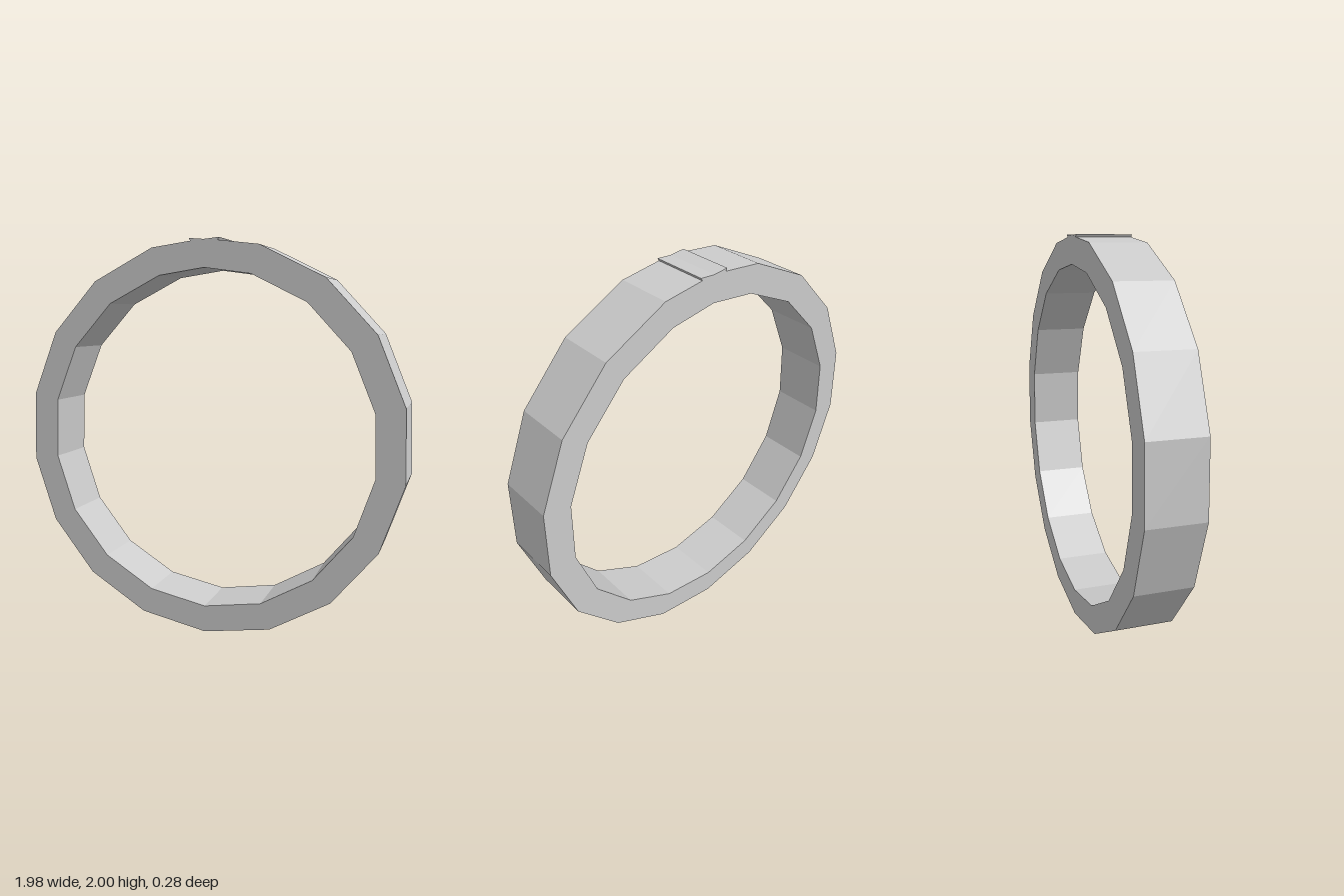
import * as THREE from 'three';

const DEPTH = 0.28;
const CENTRE_Y = 1;
const STEP = THREE.MathUtils.degToRad(20.5);

// Half outline from the bottom point up the +x side, then mirrored.
function ringPoints(radius, topPoints) {
  const half = [];
  for (let i = 1; i <= 8; i++) {
    half.push([radius * Math.sin(i * STEP), CENTRE_Y - radius * Math.cos(i * STEP)]);
  }
  half.push(...topPoints);
  const apex = half.pop();
  const mirrored = half.map(([x, y]) => [-x, y]).reverse();
  return [[0, CENTRE_Y - radius], ...half, apex, ...mirrored].map(([x, y]) => new THREE.Vector2(x, y));
}

export function createModel() {
  const group = new THREE.Group();
  const material = new THREE.MeshStandardMaterial({ color: 0xcccccc, flatShading: true });

  // Faceted band; the outer rim carries a shallow raised clasp at the top.
  const shape = new THREE.Shape(ringPoints(1, [[0.07, 1.987], [0.077, 2], [0, 1.993]]));
  shape.holes.push(new THREE.Path(ringPoints(0.86, [[0, 1.86]])));

  const geometry = new THREE.ExtrudeGeometry(shape, { depth: DEPTH, bevelEnabled: false });
  geometry.translate(0, 0, -DEPTH / 2);
  const band = new THREE.Mesh(geometry, material);
  band.name = 'bandWithClasp';
  group.add(band);
  return group;
}
